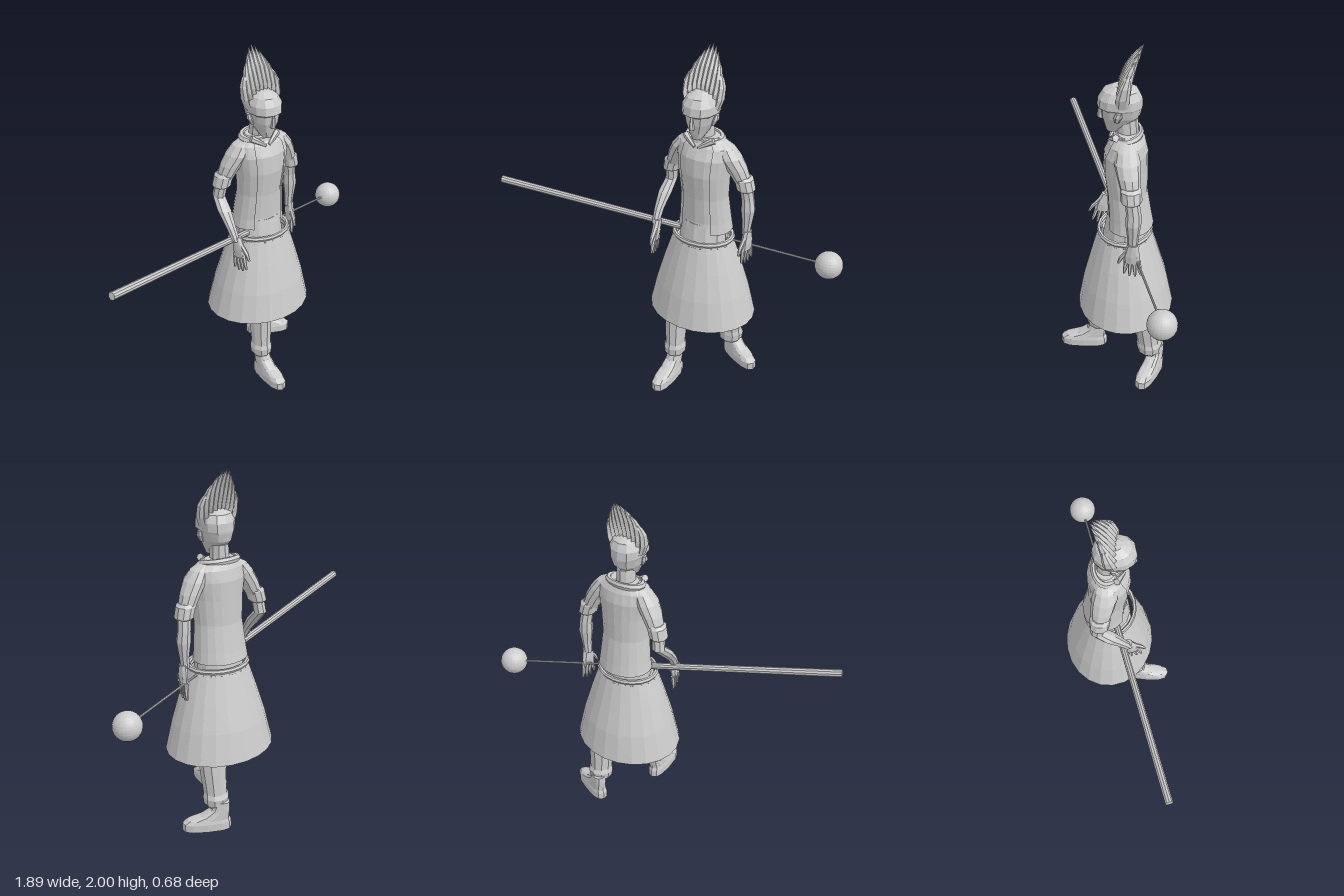
import * as THREE from 'three';

const clay = new THREE.MeshStandardMaterial({ color: 0xcccccc, flatShading: true, side: THREE.DoubleSide });
clay.name = 'light grey';

// Skin over horizontal oval rings [x, y, z, radiusX, radiusZ], listed from bottom to top
function loft(rings, { n = 12, power = 1, start = 0, sweep = Math.PI * 2, caps = true } = {}) {
  const pos = [], index = [];
  const bend = v => Math.sign(v) * Math.abs(v) ** power;
  for (const [x, y, z, rx, rz] of rings) {
    for (let j = 0; j <= n; j++) {
      const a = start + sweep * j / n;
      pos.push(x + rx * bend(Math.sin(a)), y, z + rz * bend(Math.cos(a)));
    }
  }
  const w = n + 1;
  for (let i = 0; i < rings.length - 1; i++) {
    for (let j = 0; j < n; j++) {
      const p = i * w + j;
      index.push(p, p + 1, p + w, p + 1, p + w + 1, p + w);
    }
  }
  if (caps) {
    const last = rings.length - 1, c = pos.length / 3;
    pos.push(...rings[0].slice(0, 3), ...rings[last].slice(0, 3));
    for (let j = 0; j < n; j++) {
      index.push(c, j + 1, j, c + 1, last * w + j, last * w + j + 1);
    }
  }
  const g = new THREE.BufferGeometry();
  g.setAttribute('position', new THREE.Float32BufferAttribute(pos, 3));
  g.setIndex(index);
  g.computeVertexNormals();
  return g;
}

function add(parent, name, geometry) {
  const m = new THREE.Mesh(geometry, clay);
  m.name = name;
  parent.add(m);
  return m;
}

// Squashed horizontal ring
function hoop(parent, name, x, y, z, rx, rz, tube, tilt = 0) {
  const g = new THREE.TorusGeometry(1, tube / rx, 6, 20).rotateX(Math.PI / 2);
  const m = add(parent, name, g.scale(rx, rx, rz));
  m.position.set(x, y, z);
  m.rotation.x = tilt;
}

function rod(parent, name, a, b, ra, rb, sides) {
  const d = b.clone().sub(a);
  const m = add(parent, name, new THREE.CylinderGeometry(rb, ra, d.length(), sides));
  m.position.copy(a).addScaledVector(d, 0.5);
  m.quaternion.setFromUnitVectors(new THREE.Vector3(0, 1, 0), d.normalize());
}

// Hand hanging from the wrist, broad along z
function hand(parent, name, x, y, z, tilt, turn) {
  const h = new THREE.Group();
  h.name = name;
  add(h, 'palm', loft([[0, -0.11, 0.005, 0.016, 0.043], [0, -0.06, 0.005, 0.022, 0.045], [0, 0.01, 0, 0.022, 0.028]], { n: 8 }));
  for (let i = 0; i < 4; i++) {
    const t = i - 1.5, len = 0.1 - 0.012 * Math.abs(t);
    add(h, 'finger', loft([[0, -0.1 - len, t * 0.03, 0.006, 0.006], [0, -0.15, t * 0.026, 0.011, 0.011], [0, -0.09, t * 0.022, 0.012, 0.012]], { n: 6 }));
  }
  add(h, 'thumb', loft([[0, -0.12, 0.075, 0.007, 0.007], [0, -0.08, 0.06, 0.012, 0.013], [0, -0.025, 0.02, 0.014, 0.016]], { n: 6 }));
  h.position.set(x, y, z);
  h.rotation.set(tilt, turn, 0);
  parent.add(h);
}

function foot(parent, name, x, z, turn) {
  const m = add(parent, name, loft([
    [0, 0, 0, 0.05, 0.138], [0, 0.045, 0, 0.05, 0.138], [0, 0.065, -0.01, 0.045, 0.118],
    [0, 0.085, -0.045, 0.043, 0.083], [0, 0.12, -0.075, 0.04, 0.056], [0, 0.17, -0.085, 0.038, 0.045]
  ], { power: 0.75 }));
  m.position.set(x, 0, z);
  m.rotation.y = turn;
}

export function createModel() {
  const model = new THREE.Group();
  model.name = 'figure';

  // Feet and trousers, mid-stride
  foot(model, 'rightFoot', 0.108, 0.19, 0);
  foot(model, 'leftFoot', 0.375, -0.21, 1.13);
  add(model, 'rightLeg', loft([
    [0.105, 0.14, 0.1, 0.048, 0.055], [0.105, 0.16, 0.1, 0.06, 0.068], [0.105, 0.2, 0.1, 0.065, 0.072],
    [0.105, 0.225, 0.1, 0.056, 0.064], [0.105, 0.42, 0.085, 0.066, 0.077], [0.13, 0.9, -0.02, 0.09, 0.1]], { n: 10 }));
  add(model, 'leftLeg', loft([
    [0.31, 0.13, -0.205, 0.055, 0.055], [0.31, 0.15, -0.205, 0.07, 0.068], [0.31, 0.19, -0.205, 0.075, 0.073],
    [0.31, 0.215, -0.2, 0.068, 0.066], [0.313, 0.42, -0.175, 0.081, 0.077], [0.25, 0.9, -0.08, 0.09, 0.1]], { n: 10 }));

  // Skirt, belt and hips
  add(model, 'skirt', loft([
    [0.19, 0.425, -0.062, 0.315, 0.268], [0.19, 0.6, -0.06, 0.273, 0.234],
    [0.19, 0.76, -0.057, 0.225, 0.19], [0.19, 0.91, -0.055, 0.175, 0.148]], { n: 22, caps: false }));
  hoop(model, 'belt', 0.19, 0.925, -0.055, 0.17, 0.142, 0.014);
  hoop(model, 'beltEdge', 0.19, 0.905, -0.055, 0.165, 0.14, 0.012);
  add(model, 'hips', loft([[0.19, 0.88, -0.06, 0.14, 0.125], [0.19, 1.02, -0.065, 0.13, 0.105]]));

  // Shirt with an open-fronted vest over it
  const torso = [
    [0.19, 0.98, -0.08, 0.15, 0.122], [0.19, 1.03, -0.077, 0.142, 0.113], [0.19, 1.18, -0.062, 0.128, 0.104],
    [0.19, 1.32, -0.052, 0.137, 0.113], [0.19, 1.42, -0.055, 0.15, 0.11], [0.19, 1.48, -0.063, 0.142, 0.088],
    [0.185, 1.525, -0.07, 0.085, 0.058]];
  add(model, 'shirt', loft(torso, { n: 16 }));
  const vest = torso.map(([x, y, z, rx, rz]) => [x, y - (y < 1 ? 0.012 : 0), z, rx + 0.009, rz + 0.009]);
  add(model, 'vest', loft(vest, { n: 16, start: 0.62, sweep: Math.PI * 2 - 1.24, caps: false }));
  hoop(model, 'collar', 0.18, 1.51, -0.07, 0.1, 0.068, 0.019, 0.16);
  for (const s of [-1, 1]) {
    rod(model, 'collarFlap', new THREE.Vector3(0.18 + s * 0.085, 1.525, -0.01), new THREE.Vector3(0.18 + s * 0.01, 1.48, 0.025), 0.02, 0.009, 6);
  }

  // Arms with short sleeves and turned-up cuffs
  for (const s of [-1, 1]) {
    const side = s < 0 ? 'right' : 'left', x = d => 0.19 + s * d;
    const fz = s < 0 ? 0.06 : -0.105;
    add(model, side + 'Sleeve', loft([
      [x(0.22), 1.28, -0.093, 0.045, 0.048], [x(0.18), 1.37, -0.08, 0.057, 0.062],
      [x(0.145), 1.43, -0.07, 0.062, 0.068], [x(0.115), 1.48, -0.068, 0.052, 0.055], [x(0.08), 1.51, -0.068, 0.03, 0.04]], { n: 10 }));
    add(model, side + 'Cuff', loft([
      [x(0.235), 1.245, -0.095, 0.045, 0.05], [x(0.232), 1.255, -0.095, 0.052, 0.056],
      [x(0.218), 1.31, -0.092, 0.054, 0.056], [x(0.21), 1.325, -0.09, 0.045, 0.048]], { n: 10 }));
    add(model, side + 'Forearm', loft([
      [x(0.24), 0.97, fz, 0.022, 0.027], [x(0.245), 1.04, fz * 0.75 - 0.027, 0.028, 0.031],
      [x(0.246), 1.12, fz * 0.35 - 0.07, 0.04, 0.041], [x(0.242), 1.18, -0.108, 0.035, 0.039],
      [x(0.23), 1.28, -0.095, 0.036, 0.037]], { n: 8 }));
    hand(model, side + 'Hand', x(s < 0 ? 0.23 : 0.25), 0.98, fz, s < 0 ? -0.2 : 0, s < 0 ? 0.2 : -0.15);
  }

  // Neck and head
  add(model, 'neck', loft([[0.18, 1.48, -0.07, 0.055, 0.055], [0.18, 1.6, -0.06, 0.05, 0.06]], { n: 10 }));
  add(model, 'head', loft([
    [0.18, 1.53, 0.012, 0.026, 0.03], [0.18, 1.57, -0.012, 0.048, 0.068], [0.18, 1.62, -0.03, 0.074, 0.1],
    [0.18, 1.665, -0.033, 0.086, 0.108], [0.18, 1.675, -0.026, 0.094, 0.116], [0.18, 1.72, -0.028, 0.095, 0.112],
    [0.18, 1.76, -0.03, 0.074, 0.09], [0.18, 1.785, -0.033, 0.035, 0.045]], { n: 12, power: 0.9 }));
  add(model, 'nose', loft([[0.18, 1.6, 0.066, 0.015, 0.022], [0.18, 1.615, 0.068, 0.013, 0.022], [0.18, 1.67, 0.072, 0.008, 0.01]], { n: 6 }));
  for (const s of [-1, 1]) {
    add(model, 'ear', loft([
      [0.18 + s * 0.075, 1.61, -0.015, 0.01, 0.012], [0.18 + s * 0.09, 1.645, -0.02, 0.014, 0.022],
      [0.18 + s * 0.093, 1.67, -0.025, 0.01, 0.016]], { n: 6 }));
  }

  // Fan of swept-back hair locks
  const locks = 9;
  for (let i = 0; i < locks; i++) {
    const t = i / (locks - 1) * 2 - 1, tip = 2 - 0.1 * t * t - 0.015 * Math.abs(t);
    const base = 1.69 + 0.05 * (1 - t * t);
    const shape = [[0, 0.085, 0.032, 0.013], [0.3, 0.102, 0.035, 0.017], [0.62, 0.103, 0.027, 0.017], [0.82, 0.092, 0.018, 0.012], [1, 0.075, 0.002, 0.001]];
    add(model, 'hairLock', loft(shape.map(([k, spread, rz, rx]) => {
      const y = base + (tip - base) * k, u = (y - 1.69) / 0.31;
      return [0.178 + t * spread, y, -0.04 - 0.1 * u * u, rx, rz];
    }), { n: 6 }));
  }

  // Long staff with a thin shaft and a ball on the far end
  const a = new THREE.Vector3(-0.94, 1.1, 0.32), b = new THREE.Vector3(0.865, 0.825, -0.265);
  const mid = a.clone().lerp(b, 0.56);
  rod(model, 'staffHandle', a, mid, 0.022, 0.019, 10);
  rod(model, 'staffShaft', mid, b, 0.007, 0.006, 8);
  const ball = add(model, 'staffBall', new THREE.SphereGeometry(0.078, 24, 16));
  ball.position.copy(b);

  return model;
}
